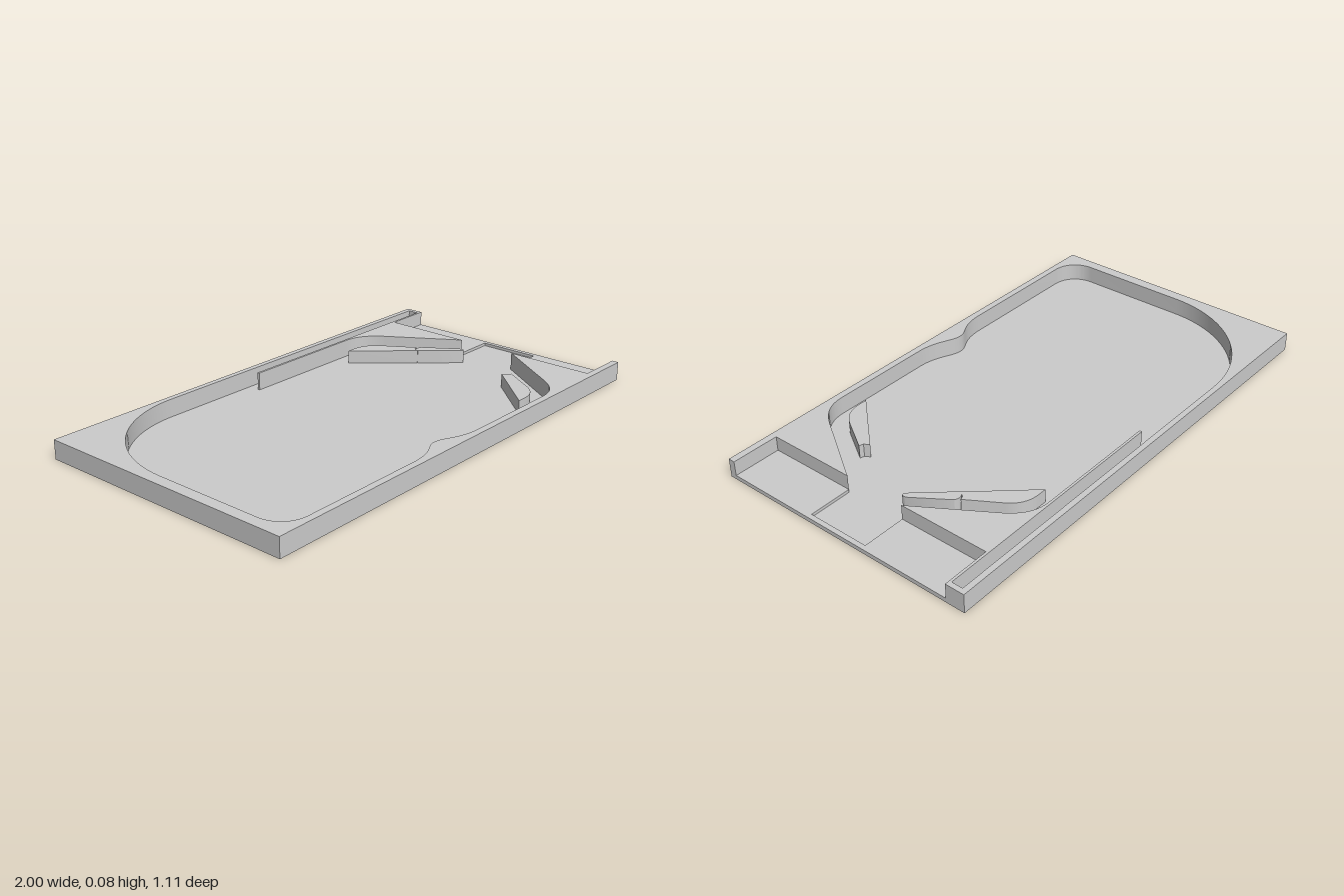
import * as THREE from 'three';
import { toCreasedNormals } from 'three/addons/utils/BufferGeometryUtils.js';

const FLOOR = 0.005, LEDGE = 0.017, TOP = 0.077, GUIDE_TOP = 0.06;
const W = 1, D = 0.553;
const END = 0.805; // where the sunken end pockets begin

// Shapes are drawn in plan with shape y = -z.
const to = (s, ...pts) => pts.forEach(([x, z]) => s.lineTo(x, -z));
const polygon = (pts) => new THREE.Shape(pts.map(([x, z]) => new THREE.Vector2(x, -z)));

// Inner wall of the playfield, from the front drain corner round to the back one
function tracePlayfield(s) {
  to(s, [END, 0.157], [0.625, 0.435]);
  s.bezierCurveTo(0.585, -0.495, 0.545, -0.523, 0.48, -0.525);
  to(s, [0.05, 0.525]);
  // small bump in the front wall
  s.bezierCurveTo(-0.05, -0.525, -0.09, -0.475, -0.14, -0.475);
  s.bezierCurveTo(-0.19, -0.475, -0.2, -0.525, -0.32, -0.525);
  to(s, [-0.84, 0.525]);
  s.bezierCurveTo(-0.905, -0.525, -0.953, -0.48, -0.953, -0.41);
  to(s, [-0.953, -0.04]);
  s.absellipse(-0.473, 0.04, 0.48, 0.49, Math.PI, Math.PI / 2, true, 0);
  // launch lane and its thin divider
  to(s, [0.98, -0.53], [0.98, -0.485], [-0.055, -0.485], [-0.055, -0.475], [0.48, -0.475]);
  s.bezierCurveTo(0.545, 0.473, 0.585, 0.445, 0.625, 0.385);
  to(s, [END, -0.1]);
}

function slab(name, shape, y0, y1, material) {
  let g = new THREE.ExtrudeGeometry(shape, { depth: y1 - y0, bevelEnabled: false, curveSegments: 24 });
  g.rotateX(-Math.PI / 2);
  g.translate(0, y0, 0);
  g = toCreasedNormals(g, 0.5);
  const mesh = new THREE.Mesh(g, material);
  mesh.name = name;
  return mesh;
}

export function createModel() {
  const group = new THREE.Group();
  group.name = 'pinballPlayfield';
  const grey = new THREE.MeshStandardMaterial({ color: 0xcccccc });
  const corners = [[-W, D], [W, D], [W, -D], [-W, -D]];

  // Floor plate
  group.add(slab('floorPlate', polygon(corners), 0, FLOOR, grey));

  // Ledge layer: gives the end pockets their raised floor and the drain its lip
  const ledge = polygon(corners);
  const hole = new THREE.Path();
  hole.moveTo(0.98, -0.157);
  tracePlayfield(hole);
  to(hole, [0.98, -0.1]);
  hole.closePath();
  ledge.holes.push(hole);
  group.add(slab('ledge', ledge, FLOOR, LEDGE, grey));

  // Surrounding walls, open at the drain end
  const walls = new THREE.Shape();
  walls.moveTo(W, -0.525);
  to(walls, [END, 0.525]);
  tracePlayfield(walls);
  to(walls, [END, -0.475], [W, -0.475], [W, -D], [-W, -D], [-W, D], [W, D]);
  walls.closePath();
  // the lane stays inside the wall outline, so one shape covers everything
  group.add(slab('walls', walls, LEDGE, TOP, grey));

  // Guides leading to the flippers
  const front = new THREE.Shape();
  front.moveTo(0.415, -0.46);
  to(front, [0.45, 0.46]);
  front.bezierCurveTo(0.51, -0.46, 0.54, -0.43, 0.56, -0.4);
  to(front, [0.64, 0.27], [0.622, 0.265], [0.61, 0.243]);
  front.closePath();
  group.add(slab('frontGuide', front, FLOOR, GUIDE_TOP, grey));

  const back = new THREE.Shape();
  back.moveTo(0.415, 0.41);
  to(back, [0.45, -0.41]);
  back.bezierCurveTo(0.51, 0.41, 0.54, 0.38, 0.56, 0.35);
  to(back, [0.64, -0.22], [0.622, -0.212], [0.61, -0.19]);
  back.closePath();
  group.add(slab('backGuide', back, FLOOR, GUIDE_TOP, grey));

  // Flipper: tapered bar with rounded ends
  const flipper = new THREE.Shape();
  flipper.moveTo(0.61, 0.188);
  to(flipper, [0.73, -0.052]);
  flipper.quadraticCurveTo(0.755, 0.035, 0.748, 0.068);
  to(flipper, [0.655, -0.205]);
  flipper.quadraticCurveTo(0.62, 0.222, 0.61, 0.188);
  group.add(slab('flipper', flipper, FLOOR, GUIDE_TOP, grey));

  return group;
}
